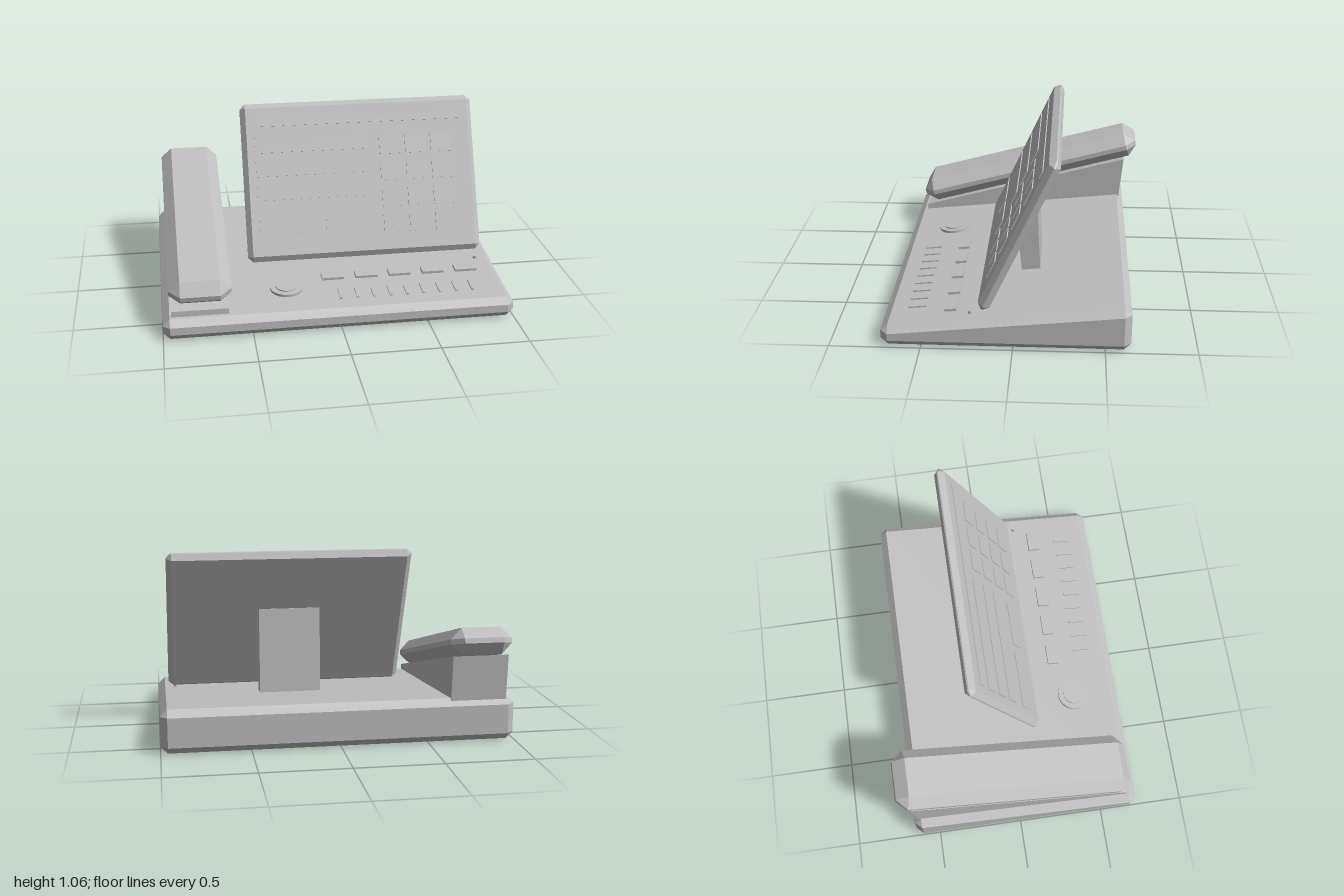
import * as THREE from 'three';
import { ConvexGeometry } from 'three/addons/geometries/ConvexGeometry.js';

const grey = new THREE.MeshStandardMaterial({ color: 0xbfbfbf });
grey.name = 'grey plastic';

function add(parent, name, geometry, x = 0, y = 0, z = 0) {
  const mesh = new THREE.Mesh(geometry, grey);
  mesh.name = name;
  mesh.position.set(x, y, z);
  parent.add(mesh);
  return mesh;
}

function addGroup(parent, name, y, z, tilt) {
  const group = new THREE.Group();
  group.name = name;
  group.position.set(0, y, z);
  group.rotation.x = tilt;
  parent.add(group);
  return group;
}

// Solid between two x positions with a convex [z, y] side profile
const points = (x, profile) => profile.map(([z, y]) => new THREE.Vector3(x, y, z));
const prism = (x0, x1, profile) => new ConvexGeometry([...points(x0, profile), ...points(x1, profile)]);

// Box with flat chamfers of size c on every edge
function chamferBox(w, h, d, c) {
  const pts = [];
  for (const i of [-1, 1]) for (const j of [-1, 1]) for (const k of [-1, 1]) {
    const [x, y, z] = [i * w / 2, j * h / 2, k * d / 2];
    pts.push(
      new THREE.Vector3(x, y - j * c, z - k * c),
      new THREE.Vector3(x - i * c, y, z - k * c),
      new THREE.Vector3(x - i * c, y - j * c, z));
  }
  return new ConvexGeometry(pts);
}

export function createModel() {
  const model = new THREE.Group();
  model.name = 'deskPhone';

  // Wedge base with chamfered edges
  const cap = [[0.68, 0.04], [0.68, 0.08], [-0.6, 0.21], [-0.6, 0.04]];
  const outline = [[0.68, 0], [0.72, 0.04], [0.72, 0.085], [0.68, 0.12],
    [-0.6, 0.25], [-0.64, 0.21], [-0.64, 0.04], [-0.6, 0]];
  add(model, 'base', new ConvexGeometry([
    ...points(-1, cap), ...points(-0.96, outline), ...points(0.96, outline), ...points(1, cap)]));

  // Cradle and handset
  add(model, 'cradle', prism(-0.95, -0.63, [[0.66, 0.1], [0.66, 0.155], [-0.64, 0.5], [-0.61, 0.2]]));
  const handset = add(model, 'handset', chamferBox(0.35, 0.155, 1.44, 0.063), -0.785, 0.4165, -0.02);
  handset.rotation.x = THREE.MathUtils.degToRad(15);

  // Screen stand
  add(model, 'stand', prism(0.045, 0.405,
    [[-0.025, 0.16], [0.005, 0.5], [-0.085, 0.7], [-0.105, 0.7], [-0.132, 0.16]]));

  // Tilted screen
  const tilt = THREE.MathUtils.degToRad(25);
  const display = addGroup(model, 'display', 0.626, -0.028, -tilt);
  add(display, 'screen', chamferBox(1.42, 0.948, 0.069, 0.03), 0.23);

  // Thin plates on the screen, given by their x range and height range
  const plate = (name, x0, x1, y0, y1) => {
    const local = y => (y - 0.116) / Math.cos(tilt) - 0.579;
    add(display, name, new THREE.BoxGeometry(x1 - x0, local(y1) - local(y0), 0.008),
      (x0 + x1) / 2, (local(y0) + local(y1)) / 2, 0.0365);
  };
  plate('statusBar', -0.404, 0.858, 0.941, 0.981);
  for (let i = 0; i < 3; i++) plate('lineField', -0.404, 0.277, 0.797 - i * 0.129, 0.884 - i * 0.129);
  plate('softButton', -0.404, -0.045, 0.35, 0.446);
  plate('softButton', -0.002, 0.277, 0.35, 0.446);
  for (let row = 0; row < 4; row++) for (let col = 0; col < 3; col++) {
    const x = 0.35 + col * 0.159, y = 0.762 - row * 0.1445;
    plate('dialKey', x, x + 0.128, y, y + 0.097);
  }

  // Controls lying on the sloped top
  const controls = addGroup(model, 'controls', 0.12, 0.68, Math.atan(0.13 / 1.28));
  const at = z => (z - 0.68) * 1.005;
  add(controls, 'dialRing', new THREE.CylinderGeometry(0.095, 0.095, 0.03, 32), -0.285, 0, at(0.44));
  add(controls, 'dialCentre', new THREE.CylinderGeometry(0.062, 0.062, 0.044, 32), -0.285, 0, at(0.44));
  for (let i = 0; i < 5; i++) {
    add(controls, 'functionButton', new THREE.BoxGeometry(0.129, 0.03, 0.068), -0.003 + i * 0.2, 0, at(0.348));
  }
  for (let i = 0; i < 9; i++) {
    add(controls, 'speakerSlot', new THREE.BoxGeometry(0.014, 0.016, 0.1), 0.013 + i * 0.0963, 0, at(0.54));
  }
  add(controls, 'indicator', new THREE.CylinderGeometry(0.012, 0.012, 0.03, 16), 0.893, 0, at(0.235));

  return model;
}
